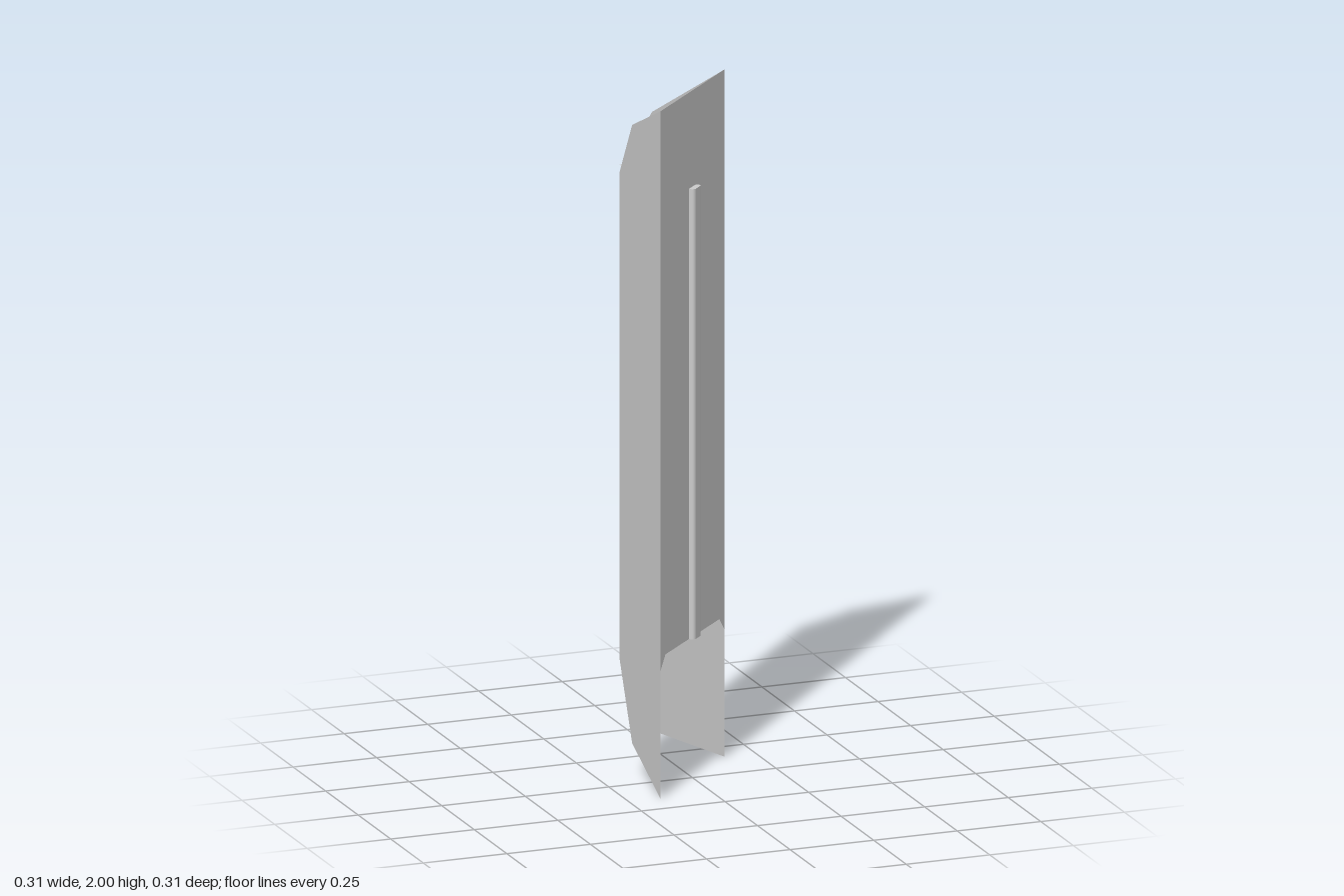
import * as THREE from 'three';

const H = 0.157;              // half length of each square wall
const D = H * Math.SQRT2;     // half length of the diagonal panel

const material = new THREE.MeshStandardMaterial({ color: 0xcccccc, side: THREE.DoubleSide });

function makeShape(points) {
  return new THREE.Shape(points.map(([x, y]) => new THREE.Vector2(x, y)));
}

// Flat sheet cut from an outline of (along, up) points
function sheet(name, points) {
  const mesh = new THREE.Mesh(new THREE.ShapeGeometry(makeShape(points)), material);
  mesh.name = name;
  return mesh;
}

export function createModel() {
  const group = new THREE.Group();
  group.name = 'triangularColumn';

  // Two walls meeting at a right angle, tapered to points at both ends
  const wall = [[-H, 0.32], [-0.06, 0.1], [H, 0], [H, 2], [-0.06, 1.9], [-H, 1.735]];
  const backWall = sheet('backWall', wall);
  backWall.position.z = -H;
  const sideWall = sheet('sideWall', wall);
  sideWall.rotation.y = -Math.PI / 2;
  sideWall.position.x = -H;

  // Diagonal panel with clipped lower corners
  const frontPanel = sheet('frontPanel', [
    [-D, 0.37], [-D + 0.035, 0.41], [D - 0.035, 0.41], [D, 0.37], [D, 2], [-D, 2],
  ]);
  frontPanel.rotation.y = Math.PI / 4;
  group.add(backWall, sideWall, frontPanel);

  // Horizontal plates closing the column
  for (const [name, y] of [['topPlate', 1.757], ['bottomPlate', 0.41]]) {
    const plate = sheet(name, [[-H, -H], [H, H], [-H, H]]);
    plate.rotation.x = -Math.PI / 2;
    plate.position.y = y;
    group.add(plate);
  }

  // Rounded strip running up the middle of the diagonal panel
  const w = 0.025, d = 0.017, r = 0.011;
  const profile = new THREE.Shape();
  profile.moveTo(w, 0);
  profile.lineTo(-w, 0);
  profile.lineTo(-w, -d + r);
  profile.absarc(-w + r, -d + r, r, Math.PI, Math.PI * 1.5, false);
  profile.absarc(w - r, -d + r, r, Math.PI * 1.5, Math.PI * 2, false);
  profile.closePath();
  const stripGeometry = new THREE.ExtrudeGeometry(profile, {
    depth: 1.31, bevelEnabled: false, curveSegments: 6,
  });
  stripGeometry.rotateX(-Math.PI / 2);
  const strip = new THREE.Mesh(stripGeometry, material);
  strip.name = 'frontStrip';
  strip.rotation.y = Math.PI / 4;
  strip.position.y = 0.41;
  group.add(strip);

  return group;
}
